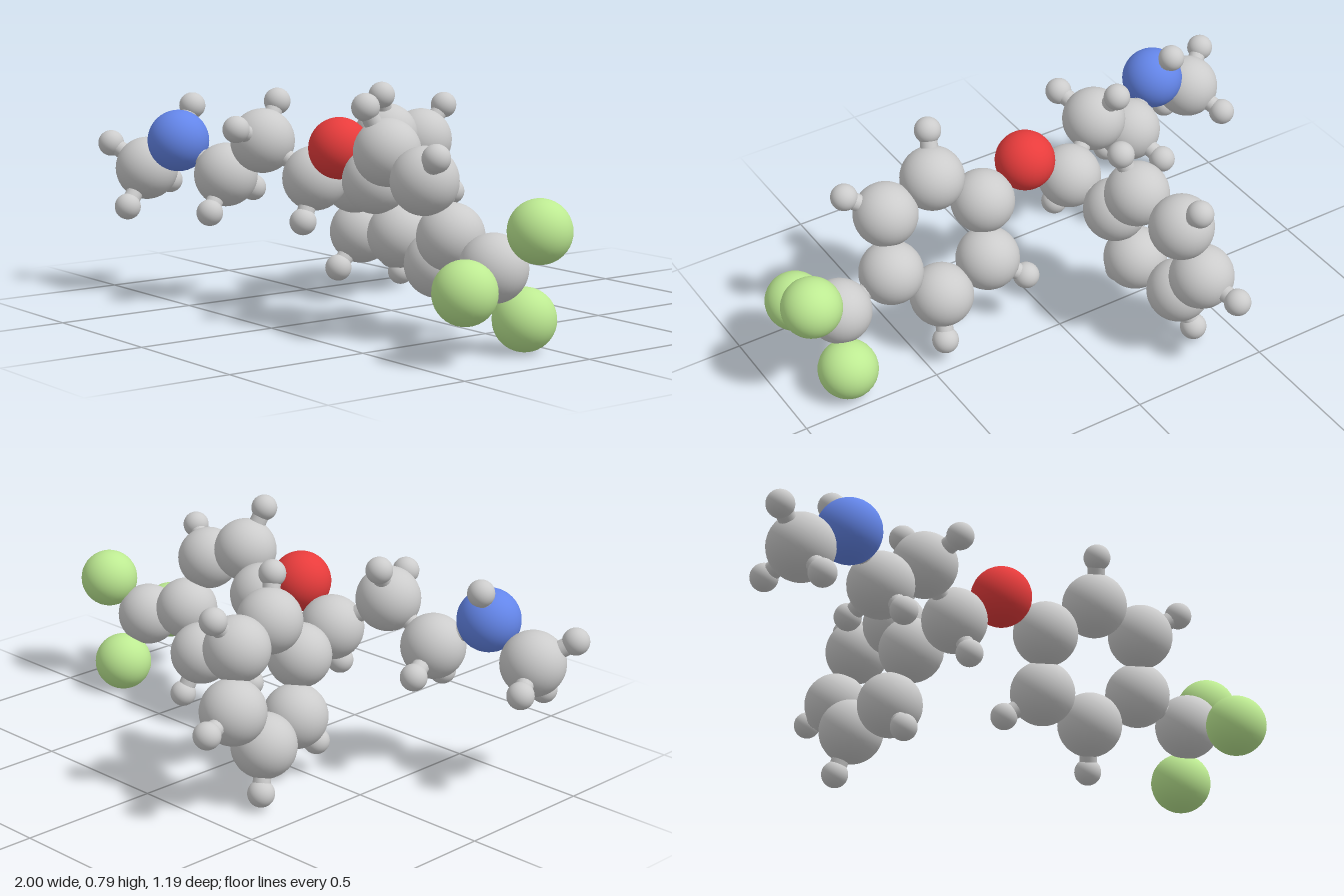
import * as THREE from 'three';

// Radius and colour of each kind of ball
const KINDS = {
  carbon: { radius: 0.111, color: 0xcccccc },
  hydrogen: { radius: 0.046, color: 0xcccccc },
  oxygen: { radius: 0.104, color: 0xe83c3c },
  nitrogen: { radius: 0.108, color: 0x6486ea },
  fluorine: { radius: 0.103, color: 0xbdea92 },
};
const BOND_RADIUS = 0.03;

export function createModel() {
  const model = new THREE.Group();
  model.name = 'molecule';

  const kit = {};
  for (const [kind, { radius, color }] of Object.entries(KINDS)) {
    kit[kind] = {
      geometry: new THREE.SphereGeometry(radius, 32, 20),
      material: new THREE.MeshStandardMaterial({ color }),
    };
  }

  function addGroup(name) {
    const group = new THREE.Group();
    group.name = name;
    model.add(group);
    return group;
  }

  function atom(group, kind, x, y, z) {
    const mesh = new THREE.Mesh(kit[kind].geometry, kit[kind].material);
    mesh.name = kind + 'Atom';
    mesh.position.set(x, y, z);
    group.add(mesh);
    return mesh;
  }

  // Thin rod between two atoms
  function bond(group, a, b) {
    const dir = b.position.clone().sub(a.position);
    const rod = new THREE.Mesh(
      new THREE.CylinderGeometry(BOND_RADIUS, BOND_RADIUS, dir.length(), 16, 1, true),
      kit.carbon.material
    );
    rod.name = 'bond';
    rod.position.copy(a.position).addScaledVector(dir, 0.5);
    rod.quaternion.setFromUnitVectors(new THREE.Vector3(0, 1, 0), dir.normalize());
    group.add(rod);
  }

  // Centre atom with the small atoms bonded to it
  function cluster(group, kind, centre, outerKind, outers) {
    const hub = atom(group, kind, ...centre);
    for (const p of outers) bond(group, hub, atom(group, outerKind, ...p));
    return hub;
  }

  // Six-carbon ring; each entry holds a carbon and, where present, its hydrogen
  function ring(name, entries) {
    const group = addGroup(name);
    const carbons = entries.map(([c, h]) => cluster(group, 'carbon', c, 'hydrogen', h ? [h] : []));
    carbons.forEach((c, i) => bond(group, c, carbons[(i + 1) % carbons.length]));
    return carbons;
  }

  // Side chain, from the methyl end to the branching carbon
  const chain = addGroup('sideChain');
  const links = [
    cluster(chain, 'carbon', [-0.845, 0.445, 0.45], 'hydrogen',
      [[-0.955, 0.53, 0.53], [-0.815, 0.318, 0.55], [-0.907, 0.385, 0.315]]),
    cluster(chain, 'nitrogen', [-0.67, 0.558, 0.427], 'hydrogen', [[-0.697, 0.675, 0.35]]),
    cluster(chain, 'carbon', [-0.51, 0.447, 0.335], 'hydrogen',
      [[-0.473, 0.325, 0.428], [-0.555, 0.385, 0.19]]),
    cluster(chain, 'carbon', [-0.334, 0.58, 0.3], 'hydrogen',
      [[-0.371, 0.708, 0.212], [-0.28, 0.633, 0.445]]),
    cluster(chain, 'carbon', [-0.168, 0.46, 0.2], 'hydrogen', [[-0.147, 0.318, 0.265]]),
  ];
  for (let i = 1; i < links.length; i++) bond(chain, links[i - 1], links[i]);
  const branch = links[links.length - 1];

  // Rear ring
  const rear = ring('rearRing', [
    [[-0.22, 0.427, -0.01]],
    [[-0.216, 0.58, -0.144], [-0.18, 0.725, -0.097]],
    [[-0.264, 0.545, -0.338], [-0.262, 0.663, -0.44]],
    [[-0.31, 0.357, -0.4], [-0.35, 0.33, -0.552]],
    [[-0.315, 0.204, -0.266], [-0.35, 0.057, -0.313]],
    [[-0.266, 0.238, -0.072], [-0.265, 0.119, 0.03]],
  ]);
  bond(chain, branch, rear[0]);

  // Side ring
  const side = ring('sideRing', [
    [[0.18, 0.49, 0.205]],
    [[0.334, 0.603, 0.275], [0.307, 0.75, 0.342]],
    [[0.52, 0.53, 0.27], [0.644, 0.617, 0.323]],
    [[0.553, 0.348, 0.19]],
    [[0.401, 0.233, 0.12], [0.429, 0.088, 0.055]],
    [[0.212, 0.307, 0.126], [0.094, 0.219, 0.068]],
  ]);

  // Oxygen bridge between the chain and the side ring
  const bridge = addGroup('oxygenBridge');
  const oxygen = atom(bridge, 'oxygen', 0, 0.58, 0.22);
  bond(bridge, branch, oxygen);
  bond(bridge, oxygen, side[0]);

  // Fluorinated end
  const tip = addGroup('fluorineEnd');
  const tipCarbon = cluster(tip, 'carbon', [0.758, 0.275, 0.185], 'fluorine',
    [[0.892, 0.4, 0.113], [0.836, 0.228, 0.365], [0.79, 0.106, 0.085]]);
  bond(tip, side[3], tipCarbon);

  return model;
}
